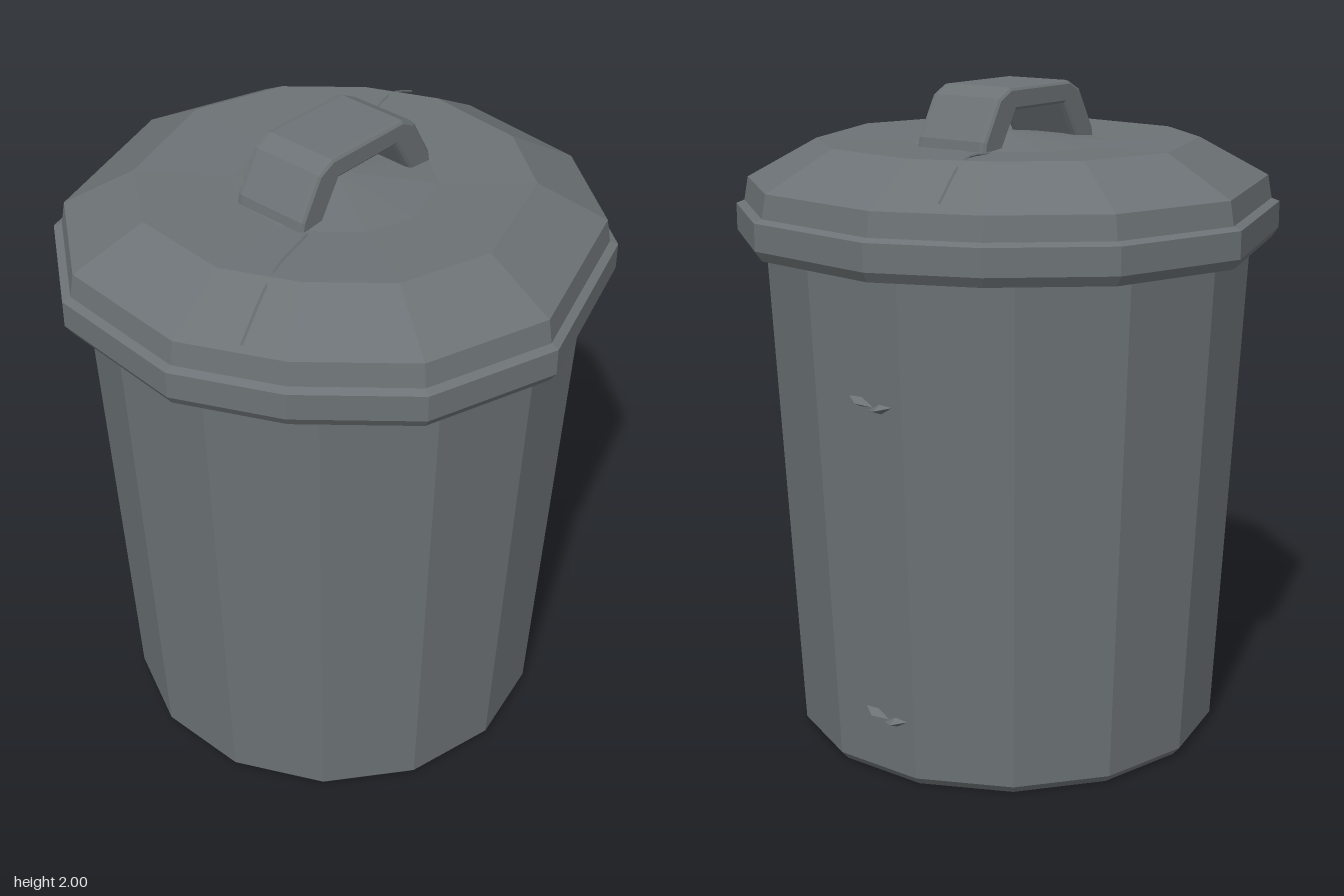
import * as THREE from 'three';

// Closed skin through scaled copies of an [x, z] outline; rows are [scale, y]
function skin(outline, rows) {
  const n = outline.length, pos = [], idx = [];
  for (const [s, y] of rows) for (const [x, z] of outline) pos.push(x * s, y, z * s);
  for (let r = 0; r < rows.length - 1; r++) {
    for (let i = 0; i < n; i++) {
      const j = (i + 1) % n;
      const a = r * n + i, b = r * n + j, c = a + n, d = b + n;
      if (rows[r + 1][0] > 0) idx.push(a, c, d);
      if (rows[r][0] > 0) idx.push(a, d, b);
    }
  }
  const g = new THREE.BufferGeometry();
  g.setAttribute('position', new THREE.Float32BufferAttribute(pos, 3));
  g.setIndex(idx);
  // the last triangle fan shares its centre, so repair the winding of capped rows
  g.computeVertexNormals();
  return g;
}

export function createModel() {
  const group = new THREE.Group();
  const metal = new THREE.MeshStandardMaterial({ color: 0x6c7275 });
  metal.flatShading = true;
  const add = (name, geometry, parent = group) => {
    const mesh = new THREE.Mesh(geometry, metal);
    mesh.name = name;
    parent.add(mesh);
    return mesh;
  };

  // Tapered, faceted can body with a softened foot
  const sides = 14, round = [];
  for (let i = 0; i < sides; i++) {
    const a = -((i + 0.5) / sides) * Math.PI * 2;
    round.push([Math.sin(a), Math.cos(a)]);
  }
  add('body', skin(round, [[0, 0], [0.635, 0], [0.656, 0.025], [0.735, 1.56], [0.735, 1.62], [0, 1.62]]));

  // Uneven twelve-sided lid with a flange, a step and a shallow dome
  const lid = new THREE.Group();
  lid.name = 'lid';
  group.add(lid);
  const rim = [
    [-0.12, -0.8], [0.33, -0.75], [0.64, -0.51], [0.825, 0.03], [0.7, 0.42], [0.42, 0.66],
    [0.12, 0.8], [-0.33, 0.76], [-0.65, 0.51], [-0.83, -0.03], [-0.7, -0.43], [-0.42, -0.67],
  ];
  add('lidShell', skin(rim, [
    [0, 1.6], [0.87, 1.6], [0.89, 1.535], [0.975, 1.53], [1, 1.56], [1, 1.64],
    [0.97, 1.65], [0.955, 1.72], [0.7, 1.835], [0.36, 1.825], [0, 1.855],
  ]), lid);

  // Thin pressed seams running out from both ends of the handle
  for (const s of [1, -1]) {
    const path = new THREE.CatmullRomCurve3([
      new THREE.Vector3(0.14 * s, 1.826, 0.27 * s),
      new THREE.Vector3(0.21 * s, 1.832, 0.48 * s),
      new THREE.Vector3(0.285 * s, 1.742, 0.68 * s),
    ]);
    add('lidSeam', new THREE.TubeGeometry(path, 8, 0.004, 4), lid);
  }

  // Bent strap handle, drawn in the side plane and extruded across the lid
  const half = [[0.27, 1.81], [0.262, 1.85], [0.195, 1.965], [0.145, 1.99]];
  const inner = [[0.125, 1.942], [0.2, 1.82]];
  const outline = [...half, ...half.map(([z, y]) => [-z, y]).reverse(),
    ...inner.map(([z, y]) => [-z, y]).reverse(), ...inner];
  const strap = new THREE.Shape(outline.map(([z, y]) => new THREE.Vector2(z, y)));
  const handle = new THREE.ExtrudeGeometry(strap, {
    depth: 0.21, bevelEnabled: true, bevelThickness: 0.02, bevelSize: 0.01, bevelSegments: 2,
  });
  handle.translate(0, 0, -0.105).rotateY(Math.PI / 2);
  add('handle', handle, lid);

  // Two little crumpled clips on the back
  for (const [y, z] of [[1.16, -0.7], [0.2, -0.655]]) {
    for (const s of [1, -1]) {
      const clip = add('backClip', new THREE.OctahedronGeometry(1));
      clip.scale.set(0.045, 0.014, 0.028);
      clip.position.set(-0.05 + s * 0.035, y + s * 0.006, z);
      clip.rotation.z = s * 0.25;
    }
  }
  return group;
}
